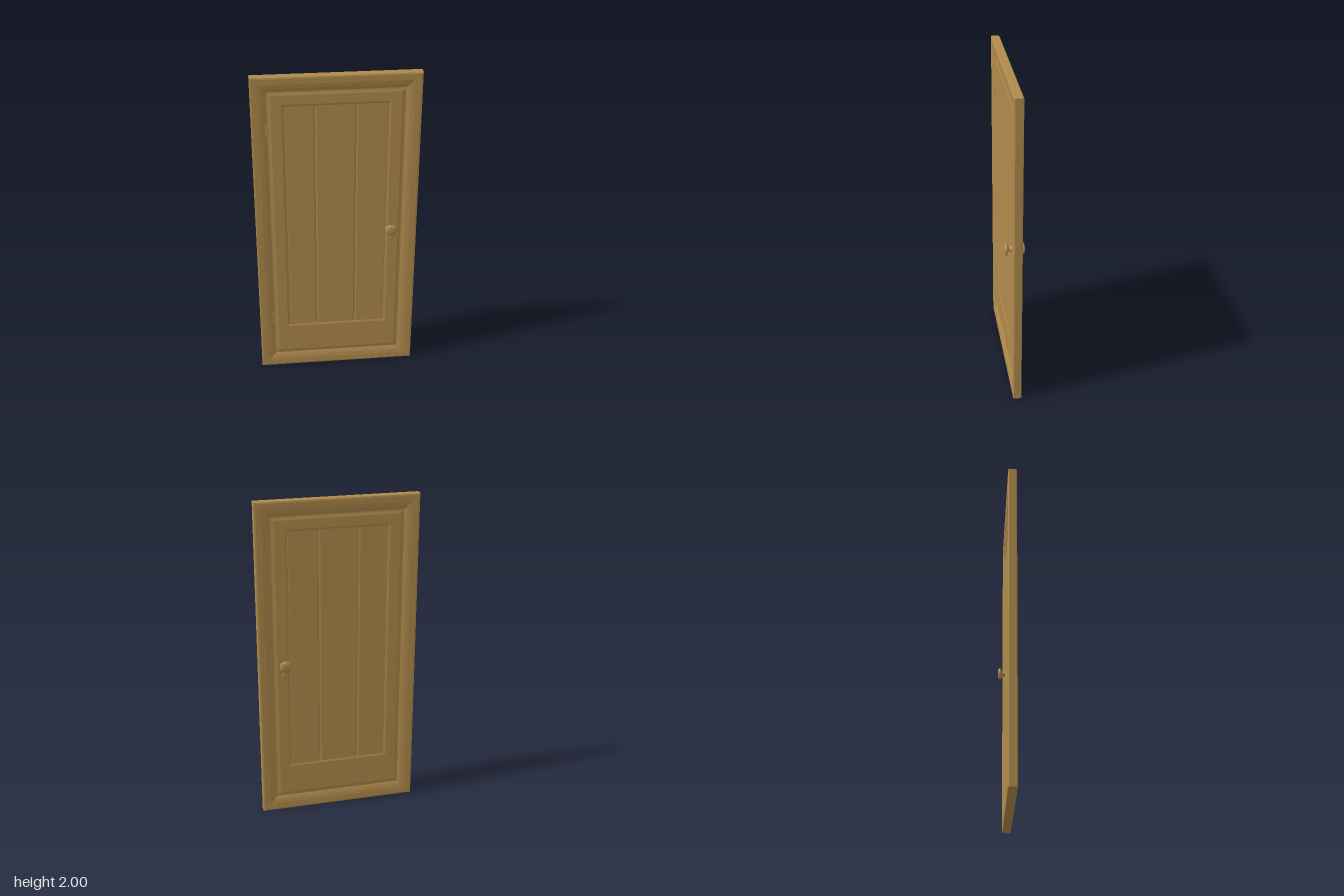
import * as THREE from 'three';

const wood = new THREE.MeshStandardMaterial({ color: 0xb08a4c });
wood.name = 'warm wood';

// Lofts faces through rectangular rings [x0, x1, y0, y1, z], running from front to back.
function loft(rings, capped = false) {
  const loops = rings.map(([x0, x1, y0, y1, z]) => [[x0, y0, z], [x1, y0, z], [x1, y1, z], [x0, y1, z]]);
  const pos = [];
  const quad = (a, b, c, d) => pos.push(...a, ...b, ...c, ...a, ...c, ...d);
  for (let r = 0; r < loops.length - 1; r++) {
    const a = loops[r], b = loops[r + 1];
    for (let i = 0; i < 4; i++) {
      const j = (i + 1) % 4;
      quad(a[i], b[i], b[j], a[j]);
    }
  }
  if (capped) {
    const first = loops[0], last = loops[loops.length - 1];
    quad(...first);
    quad(last[3], last[2], last[1], last[0]);
  }
  const geo = new THREE.BufferGeometry();
  geo.setAttribute('position', new THREE.Float32BufferAttribute(pos, 3));
  geo.computeVertexNormals();
  return geo;
}

// Repeats the front rings mirrored in z for the back.
const bothSides = (rings) => [...rings, ...rings.slice().reverse().map(([a, b, c, d, z]) => [a, b, c, d, -z])];

export function createModel() {
  const door = new THREE.Group();
  door.name = 'door';
  const add = (name, geo, parent = door) => {
    const mesh = new THREE.Mesh(geo, wood);
    mesh.name = name;
    parent.add(mesh);
    return mesh;
  };

  // Outer frame: rounded outer edge and a moulding sloping inwards
  const inset = (d, z) => [-0.49 + d, 0.49 - d, d, 2 - d, z];
  add('frame', loft(bothSides([
    inset(0.092, 0.012), inset(0.084, 0.016), inset(0.068, 0.022), inset(0.045, 0.026),
    inset(0.012, 0.027), inset(0.003, 0.025), inset(0, 0.021),
  ])));

  // Door leaf: rails and stiles with a shallow groove along the frame
  add('leaf', loft(bothSides([
    [-0.29, 0.29, 0.325, 1.805, 0.009], [-0.303, 0.303, 0.312, 1.818, 0.012],
    [-0.315, 0.315, 0.3, 1.83, 0.016],
    [-0.375, 0.375, 0.115, 1.885, 0.016], [-0.39, 0.39, 0.1, 1.9, 0.012],
    [-0.42, 0.42, 0.07, 1.93, 0.01],
  ])));

  // Three chamfered planks filling the recessed panel
  const joints = [-0.305, -0.125, 0.115, 0.305];
  for (let i = 0; i < 3; i++) {
    const a = joints[i], b = joints[i + 1];
    add('plank', loft(bothSides([
      [a + 0.01, b - 0.01, 0.31, 1.82, 0.012], [a, b, 0.31, 1.82, 0.009],
    ]), true));
  }

  // Knob and keyhole plate on each face
  const profile = new THREE.SplineCurve([
    [0.02, 0.012], [0.018, 0.02], [0.014, 0.028], [0.018, 0.036], [0.032, 0.042],
    [0.037, 0.048], [0.033, 0.055], [0.02, 0.06], [0, 0.0615],
  ].map(([r, y]) => new THREE.Vector2(r, y))).getPoints(28);
  profile.forEach((p) => { p.x = Math.max(p.x, 0); });
  const knobGeo = new THREE.LatheGeometry(profile, 32);
  for (const side of [1, -1]) {
    const handle = new THREE.Group();
    handle.name = side > 0 ? 'frontHandle' : 'backHandle';
    handle.position.set(0.33, 0.995, 0);
    handle.rotation.x = side * Math.PI / 2;
    door.add(handle);
    add('knob', knobGeo, handle);
    const plate = add('keyholePlate', new THREE.SphereGeometry(0.02, 20, 12), handle);
    plate.scale.set(0.8, 0.2, 1.2);
    plate.position.set(0.005, 0.015, side * 0.07);
  }

  // Small hinge knuckles on the front
  for (const y of [0.37, 1.67]) {
    const hinge = add('hinge', new THREE.CapsuleGeometry(0.006, 0.07, 4, 10));
    hinge.position.set(-0.402, y, 0.013);
  }

  door.position.z = -0.003;
  const model = new THREE.Group();
  model.name = 'panelDoor';
  model.add(door);
  return model;
}
